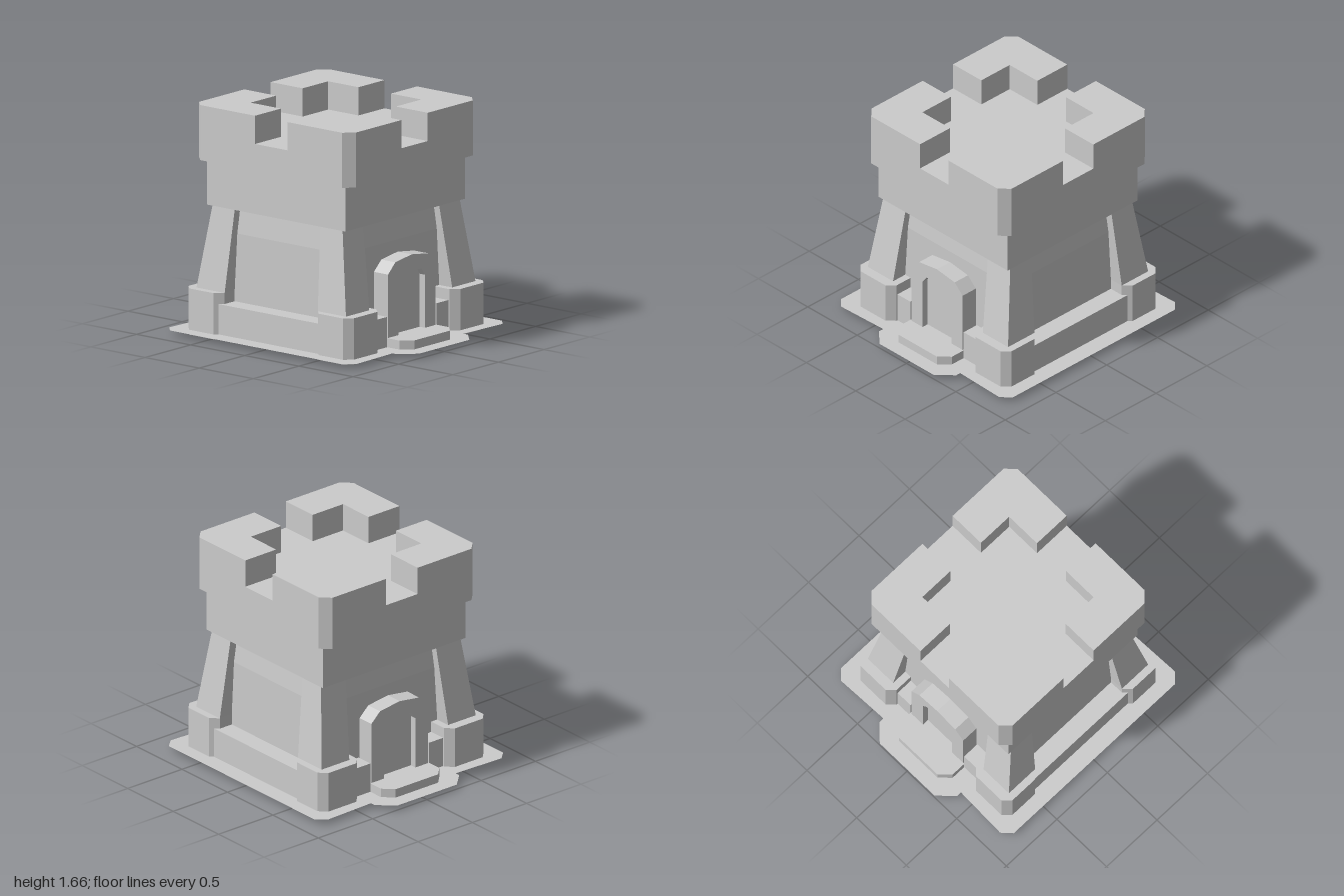
import * as THREE from 'three';

const material = new THREE.MeshStandardMaterial({ color: 0xcccccc, flatShading: true });
const sheetMaterial = new THREE.MeshStandardMaterial({ color: 0xcccccc, flatShading: true, side: THREE.DoubleSide });

const toShape = (points) => new THREE.Shape(points.map(([x, y]) => new THREE.Vector2(x, y)));

// Plan outline (x, z) raised from y0 to y1
function prism(points, y0, y1) {
  const geo = new THREE.ExtrudeGeometry(toShape(points.map(([x, z]) => [x, -z])), { depth: y1 - y0, bevelEnabled: false });
  return geo.rotateX(-Math.PI / 2).translate(0, y0, 0);
}

// Block with its own x and z ranges at the bottom and the top
function block(y0, y1, [bx0, bx1, bz0, bz1], [tx0, tx1, tz0, tz1] = [bx0, bx1, bz0, bz1]) {
  const geo = new THREE.BoxGeometry(1, 1, 1);
  const p = geo.attributes.position;
  for (let i = 0; i < p.count; i++) {
    const top = p.getY(i) > 0, right = p.getX(i) > 0, front = p.getZ(i) > 0;
    const x = top ? (right ? tx1 : tx0) : (right ? bx1 : bx0);
    const z = top ? (front ? tz1 : tz0) : (front ? bz1 : bz0);
    p.setXYZ(i, x, top ? y1 : y0, z);
  }
  geo.computeVertexNormals();
  return geo;
}

// Rectangle outline with cut corners
function cutRect(x0, x1, z0, z1, cx, cz = cx) {
  return [
    [x0 + cx, z0], [x1 - cx, z0], [x1, z0 + cz], [x1, z1 - cz],
    [x1 - cx, z1], [x0 + cx, z1], [x0, z1 - cz], [x0, z0 + cz],
  ];
}

const mirrorPoints = (points, sx, sz) => points.map(([x, z]) => [x * sx, z * sz]);

export function createModel() {
  const model = new THREE.Group();
  const add = (name, geometry, mat = material) => {
    const mesh = new THREE.Mesh(geometry, mat);
    mesh.name = name;
    model.add(mesh);
    return mesh;
  };

  // Thin ground plate, one quarter outline mirrored around
  const quarter = [[0.87, 0.8], [0.8, 0.865], [0.39, 0.85], [0.39, 0.89], [0.275, 1]];
  const half = [...quarter, ...mirrorPoints(quarter, -1, 1).reverse()];
  const outline = [...half, ...mirrorPoints(half, -1, -1)];
  const plate = new THREE.ShapeGeometry(toShape(outline)).rotateX(-Math.PI / 2).translate(0, 0.035, 0);
  add('groundPlate', plate, sheetMaterial);

  // Step slab running through from front to back
  add('stepSlab', prism(cutRect(-0.27, 0.27, -0.89, 0.89, 0.075), 0.02, 0.1));

  // Tower walls, leaning in at the top
  const lower = [-0.6, 0.6, -0.57, 0.57];
  add('towerWall', block(0.165, 0.75, lower));
  add('upperWall', block(0.75, 0.94, lower, [-0.58, 0.58, -0.55, 0.55]));
  add('upperBand', block(0.935, 1.265, [-0.655, 0.655, -0.64, 0.64]));

  // Parapet deck
  add('parapet', prism(cutRect(-0.71, 0.71, -0.725, 0.725, 0.07), 1.265, 1.46));

  // Corner parts
  const merlon = [
    [0.145, 0.725], [0.64, 0.725], [0.71, 0.655], [0.71, 0.15],
    [0.425, 0.15], [0.425, 0.43], [0.145, 0.43],
  ];
  const pier = cutRect(0.4, 0.765, 0.43, 0.765, 0.055);
  const span = (a, b, s) => (s > 0 ? [a, b] : [-b, -a]);
  for (const sx of [-1, 1]) {
    for (const sz of [-1, 1]) {
      add('cornerPier', prism(mirrorPoints(pier, sx, sz), 0, 0.335));
      add('buttress', block(0.335, 0.94,
        [...span(0.455, 0.71, sx), ...span(0.43, 0.69, sz)],
        [...span(0.415, 0.64, sx), ...span(0.395, 0.6, sz)]));
      add('merlon', prism(mirrorPoints(merlon, sx, sz), 1.46, 1.665));
      add('doorsideWall', block(0.02, 0.255, [...span(0.27, 0.45, sx), ...span(0.5, 0.7, sz)]));
    }
    add('sideLowWall', block(0.02, 0.255, [...span(0.5, 0.74, sx), -0.46, 0.46]));
  }

  // Arched doorways at the front and back
  const arch = toShape([
    [-0.26, 0.1], [0.26, 0.1], [0.26, 0.56], [0.18, 0.635], [0, 0.66], [-0.18, 0.635], [-0.26, 0.56],
  ]);
  const opening = [[-0.145, 0.1], [0.145, 0.1], [0.145, 0.485], [0.105, 0.54], [-0.105, 0.54], [-0.145, 0.485]];
  const frame = toShape([
    [-0.26, 0.1], ...[opening[0], opening[5], opening[4], opening[3], opening[2], opening[1]],
    [0.26, 0.1], [0.26, 0.56], [0.18, 0.635], [0, 0.66], [-0.18, 0.635], [-0.26, 0.56],
  ]);
  for (const turn of [0, Math.PI]) {
    const backing = new THREE.ExtrudeGeometry(arch, { depth: 0.1, bevelEnabled: false });
    add('door', backing.translate(0, 0, 0.55).rotateY(turn));
    const surround = new THREE.ExtrudeGeometry(frame, { depth: 0.05, bevelEnabled: false });
    add('doorFrame', surround.translate(0, 0, 0.65).rotateY(turn));
  }

  return model;
}
